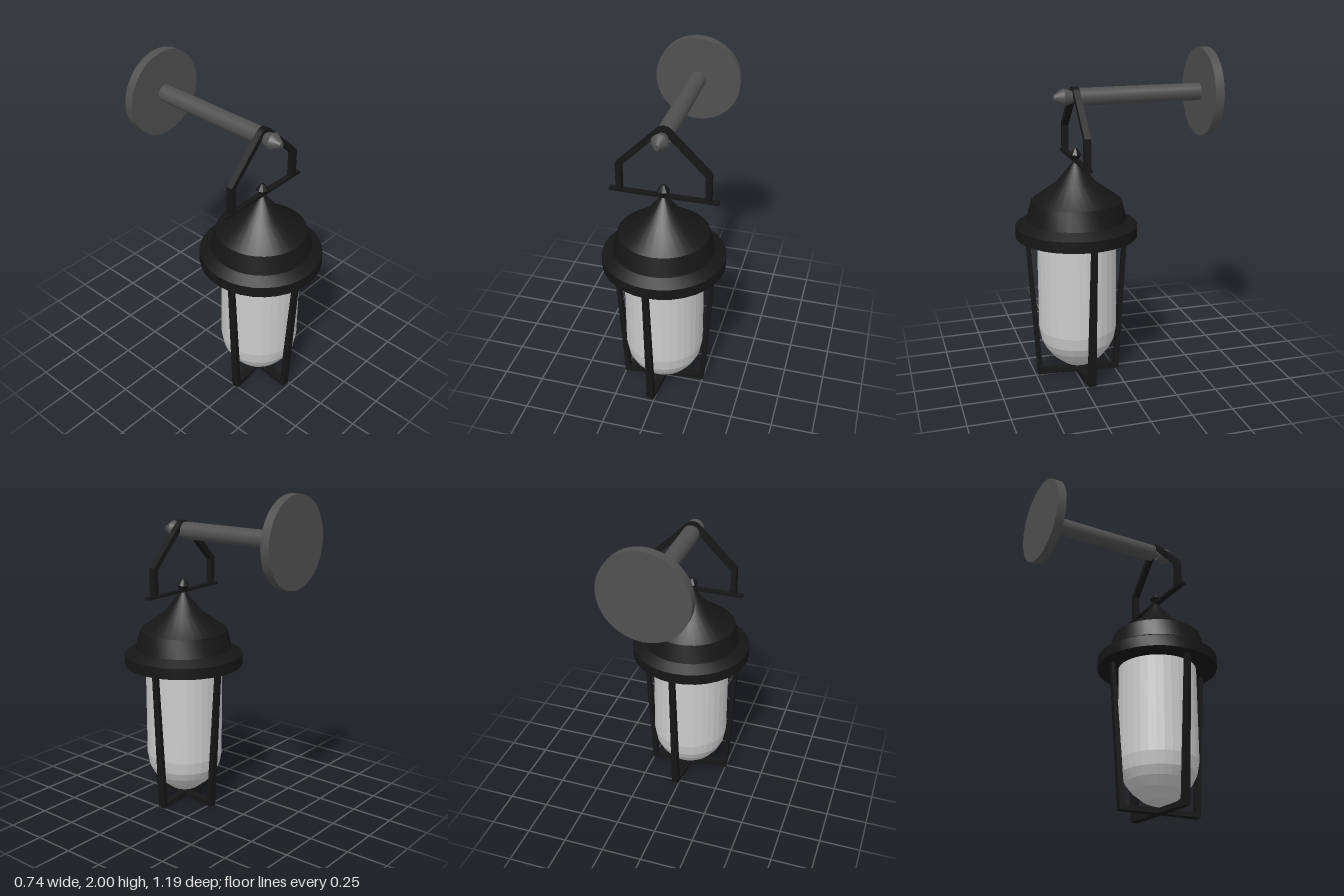
import * as THREE from 'three';
import { toCreasedNormals } from 'three/addons/utils/BufferGeometryUtils.js';

const LANTERN_Z = 0.228; // lantern axis
const ARM_Y = 1.735; // wall arm axis

const iron = new THREE.MeshStandardMaterial({ color: 0x161616 });
const steel = new THREE.MeshStandardMaterial({ color: 0x505050 });
const glass = new THREE.MeshStandardMaterial({ color: 0xcccccc, flatShading: true, side: THREE.DoubleSide });

function add(parent, name, geometry, material) {
  const mesh = new THREE.Mesh(geometry, material);
  mesh.name = name;
  parent.add(mesh);
  return mesh;
}

// Turned part from [radius, height] pairs, listed bottom to top
function turned(profile, sides) {
  const points = profile.map(([r, y]) => new THREE.Vector2(r, y));
  return toCreasedNormals(new THREE.LatheGeometry(points, sides), 0.3);
}

// Flat outline extruded to a centred thickness
function plate(shape, depth) {
  return new THREE.ExtrudeGeometry(shape, { depth, bevelEnabled: false, curveSegments: 8 }).translate(0, 0, -depth / 2);
}

function outline(points) {
  return new THREE.Shape(points.map(([x, y]) => new THREE.Vector2(x, y)));
}

function makeLantern() {
  const lantern = new THREE.Group();
  lantern.name = 'lantern';
  add(lantern, 'cap', turned([
    [0, 0.9], [0.368, 0.9], [0.368, 0.968], [0.303, 1.005], [0.272, 1.118],
    [0.12, 1.228], [0.012, 1.36], [0, 1.36],
  ], 32), iron);
  add(lantern, 'capFinial', turned([
    [0, 1.35], [0.012, 1.355], [0.037, 1.395], [0.01, 1.432], [0, 1.432],
  ], 8), iron);
  add(lantern, 'glass', new THREE.LatheGeometry([
    [0, 0.048], [0.04, 0.052], [0.09, 0.072], [0.16, 0.128], [0.2, 0.18],
    [0.226, 0.232], [0.24, 0.31], [0.24, 0.905],
  ].map(([r, y]) => new THREE.Vector2(r, y)), 32), glass);

  // Two crossing U-shaped straps, narrowing toward the cap
  const strap = plate(outline([
    [-0.256, 0], [0.256, 0], [0.313, 0.93], [0.289, 0.93],
    [0.226, 0.03], [-0.226, 0.03], [-0.289, 0.93], [-0.313, 0.93],
  ]), 0.046);
  const pos = strap.attributes.position;
  for (let i = 0; i < pos.count; i++) pos.setZ(i, pos.getZ(i) * (1 - 0.28 * pos.getY(i)));
  strap.computeVertexNormals();
  for (const angle of [0.1, -Math.PI / 2 - 0.1]) {
    add(lantern, 'cageStrap', strap, iron).rotation.y = angle;
  }
  return lantern;
}

function makeHanger() {
  const hanger = new THREE.Group();
  hanger.name = 'hanger';
  // Peaked frame, rounded where it hooks over the arm
  const q = Math.PI / 4;
  const c = Math.SQRT1_2;
  const R = 0.06;
  const r = 0.028;
  const frame = new THREE.Shape();
  frame.moveTo(0.28, 1.36);
  frame.lineTo(0.28, 1.54);
  frame.lineTo(R * c, ARM_Y + R * c);
  frame.absarc(0, ARM_Y, R, q, 3 * q, false);
  frame.lineTo(-0.28, 1.54);
  frame.lineTo(-0.28, 1.36);
  frame.lineTo(-0.246, 1.36);
  frame.lineTo(-0.246, 1.526);
  frame.lineTo(-r * c, ARM_Y + r * c);
  frame.absarc(0, ARM_Y, r, 3 * q, q, true);
  frame.lineTo(0.246, 1.526);
  frame.lineTo(0.246, 1.36);
  add(hanger, 'hangerFrame', plate(frame, 0.038), iron);
  add(hanger, 'hangerCrossbar', new THREE.BoxGeometry(0.644, 0.016, 0.034), iron).position.y = 1.363;
  return hanger;
}

function makeWallArm() {
  // Turned along y, then laid down so the profile height runs along z
  const arm = new THREE.Group();
  arm.name = 'wallArm';
  arm.position.y = ARM_Y;
  arm.rotation.x = Math.PI / 2;
  add(arm, 'wallPlate', turned([[0, -0.597], [0.265, -0.597], [0.265, -0.542], [0, -0.542]], 64), steel);
  add(arm, 'armTube', turned([[0, -0.545], [0.052, -0.545], [0.052, 0.205], [0, 0.205]], 32), steel);
  add(arm, 'armNeck', turned([[0.026, 0.2], [0.026, 0.25]], 24), steel);
  add(arm, 'armFinial', turned([
    [0, 0.244], [0.036, 0.244], [0.052, 0.298], [0.016, 0.356], [0, 0.356],
  ], 24), steel);
  return arm;
}

export function createModel() {
  const model = new THREE.Group();
  model.name = 'wallLantern';
  const lantern = makeLantern();
  const hanger = makeHanger();
  lantern.position.z = hanger.position.z = LANTERN_Z;
  model.add(lantern, hanger, makeWallArm());
  return model;
}
